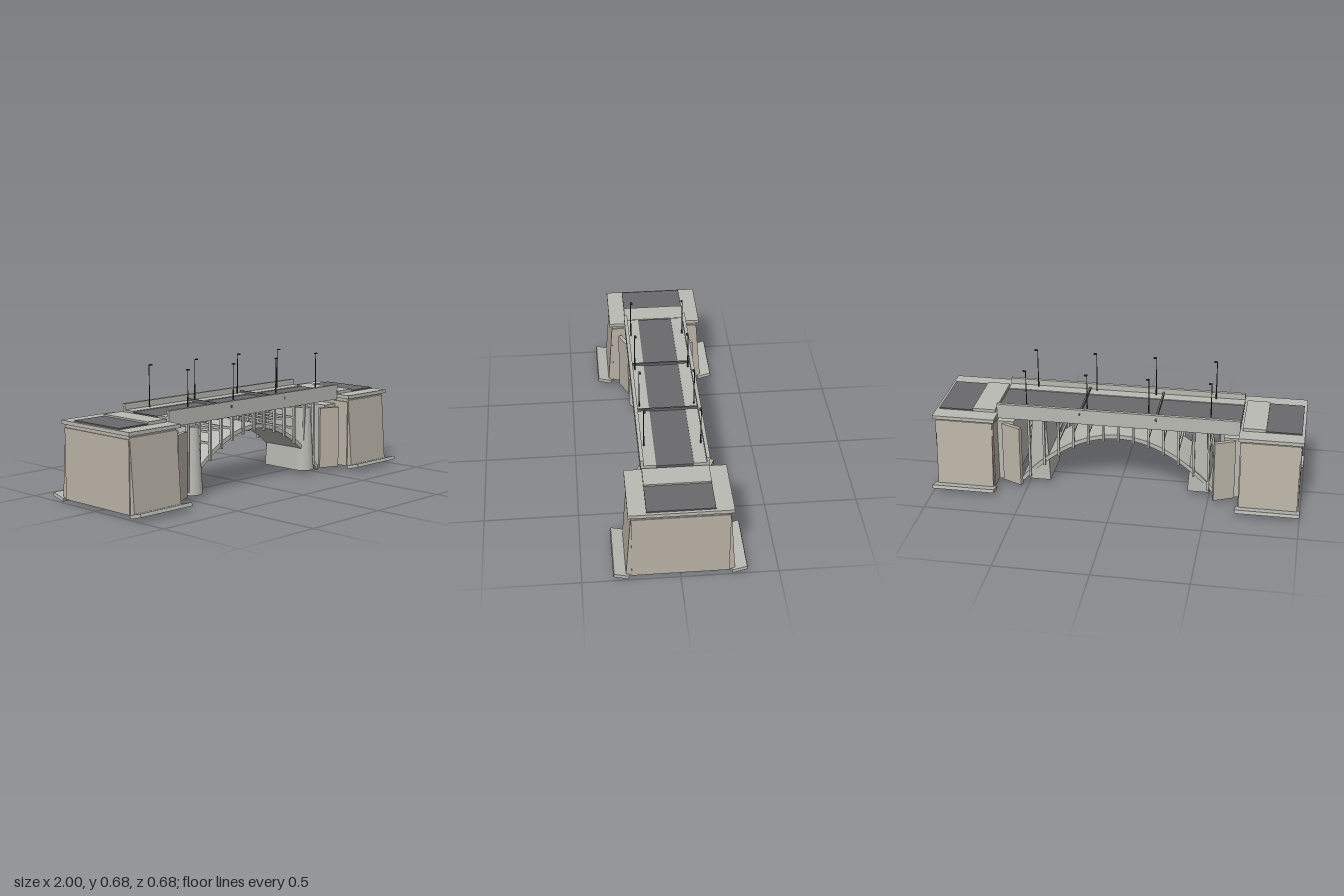
import * as THREE from 'three';

const mat = (color) => new THREE.MeshStandardMaterial({ color });

export function createModel() {
  const root = new THREE.Group();
  root.name = 'archBridge';
  const concrete = mat(0xb9bab3), tan = mat(0xbab3a7), asphalt = mat(0x69686c), dark = mat(0x35383a);

  const add = (name, geometry, material, parent = root) => {
    const m = new THREE.Mesh(geometry, material);
    m.name = name;
    parent.add(m);
    return m;
  };
  // Box given by its limits on each axis
  const box = (name, [x0, x1], [y0, y1], [z0, z1], material, parent) => {
    const m = add(name, new THREE.BoxGeometry(x1 - x0, y1 - y0, z1 - z0), material, parent);
    m.position.set((x0 + x1) / 2, (y0 + y1) / 2, (z0 + z1) / 2);
    return m;
  };

  // Deck with road, pavements, parapets and expansion joints
  const L = 0.66;
  box('deckSlab', [-L, L], [0.402, 0.43], [-0.176, 0.176], concrete);
  box('roadway', [-L, L], [0.43, 0.45], [-0.096, 0.096], asphalt);
  for (const s of [-1, 1]) {
    const side = (a, b) => (s > 0 ? [a, b] : [-b, -a]);
    box('pavement', [-L, L], [0.43, 0.454], side(0.096, 0.161), concrete);
    box('parapet', [-L, L], [0.43, 0.476], side(0.161, 0.176), concrete);
    box('parapetCoping', [-L, L], [0.476, 0.487], side(0.159, 0.178), concrete);
    box('expansionJoint', [s * 0.207 - 0.005, s * 0.207 + 0.005], [0.451, 0.466], [-0.178, 0.178], asphalt);
    box('edgeGirder', [-L, L], [0.392, 0.404], side(0.11, 0.13), concrete);
  }

  // Parabolic arch barrel
  const top = (x) => 0.331 - 1.04 * x * x;
  const soffit = (x) => 0.307 - 1.06 * x * x;
  const N = 32, span = 0.54, outline = [];
  for (let i = 0; i <= N; i++) {
    const x = -span + (2 * span * i) / N;
    outline.push(new THREE.Vector2(x, top(x)));
  }
  for (let i = N; i >= 0; i--) {
    const x = -span + (2 * span * i) / N;
    outline.push(new THREE.Vector2(x, soffit(x)));
  }
  const archGeo = new THREE.ExtrudeGeometry(new THREE.Shape(outline), { depth: 0.27, bevelEnabled: false });
  add('archBarrel', archGeo.translate(0, 0, -0.135), concrete);

  // Spandrel columns and cross beams standing on the arch
  for (let k = -6; k <= 6; k++) {
    const x = k * 0.0825, foot = soffit(x) - 0.012;
    for (const z of [-0.138, 0.138])
      box('spandrelColumn', [x - 0.006, x + 0.006], [foot, 0.404], [z - 0.007, z + 0.007], concrete);
    for (const y of [0.39, 0.33, 0.27])
      if (y > top(x) + 0.02)
        box('crossBeam', [x - 0.005, x + 0.005], [y - 0.006, y + 0.006], [-0.138, 0.138], concrete);
  }

  // Tapered piers, rounded at the front and flat at the back
  const r = 0.06, H = 0.358;
  const plan = new THREE.Shape();
  plan.moveTo(-r, 0.13);
  plan.lineTo(-r, -0.11);
  plan.absarc(0, -0.11, r, Math.PI, Math.PI * 2, false);
  plan.lineTo(r, 0.13);
  plan.closePath();
  for (const s of [-1, 1]) {
    const geo = new THREE.ExtrudeGeometry(plan, { depth: H, bevelEnabled: false, curveSegments: 16 });
    geo.rotateX(-Math.PI / 2);
    const p = geo.attributes.position;
    for (let i = 0; i < p.count; i++) {
      const t = p.getY(i) / H;
      p.setX(i, p.getX(i) * (1 - 0.36 * t));
      p.setZ(i, p.getZ(i) * (1 - 0.1 * t));
    }
    geo.computeVertexNormals();
    add('pier', geo, concrete).position.set(s * 0.442, 0.017, 0);
    box('pierBearing', [s * 0.442 - 0.022, s * 0.442 + 0.022], [0.37, 0.404], [-0.1, 0.12], concrete);
  }

  // Abutments at both ends
  for (const s of [-1, 1]) {
    const g = new THREE.Group();
    g.name = s > 0 ? 'leftAbutment' : 'rightAbutment';
    root.add(g);
    const xs = (a, b) => (s > 0 ? [a, b] : [-b, -a]);
    box('abutmentBody', xs(0.667, 0.99), [0.017, 0.392], [-0.247, 0.247], tan, g);
    box('abutmentNeck', xs(0.675, 0.985), [0.39, 0.412], [-0.243, 0.243], tan, g);
    box('capSlab', xs(0.658, 1), [0.411, 0.431], [-0.262, 0.262], concrete, g);
    box('approachRoad', xs(0.79, 0.985), [0.43, 0.438], [-0.171, 0.171], asphalt, g);
    box('approachSlab', xs(0.672, 0.797), [0.43, 0.447], [-0.171, 0.171], concrete, g);
    box('breastWall', xs(0.575, 0.67), [0.017, 0.374], [-0.155, 0.155], concrete, g);

    for (const f of [-1, 1]) {
      // Battered side wall
      const wedge = new THREE.Shape();
      wedge.moveTo(0.24, 0.017);
      wedge.lineTo(0.277, 0.017);
      wedge.lineTo(0.248, 0.4);
      wedge.lineTo(0.226, 0.41);
      wedge.closePath();
      const geo = new THREE.ExtrudeGeometry(wedge, { depth: 0.312, bevelEnabled: false });
      geo.rotateY(-Math.PI / 2).translate(0.156, 0, 0);
      const wall = add('batteredWall', geo, tan, g);
      wall.position.x = s * 0.829;
      if (f < 0) wall.rotation.y = Math.PI;

      // Sloping apron slab along the foot
      const apron = add('apronSlab', new THREE.BoxGeometry(0.344, 0.019, 0.08), concrete, g);
      apron.position.set(s * 0.828, 0.0235, f * 0.3);
      apron.rotation.x = -f * 0.26;

      // Splayed wing wall beside the pier
      const wing = add('wingWall', new THREE.BoxGeometry(0.118, 0.347, 0.022), tan, g);
      wing.position.set(s * 0.582, 0.19, f * 0.18);
      wing.rotation.y = s * -0.42;
    }
  }

  // Street lamps in two rows
  for (const x of [-0.5, -0.167, 0.167, 0.5])
    for (const f of [-1, 1]) {
      const lamp = new THREE.Group();
      lamp.name = 'streetLamp';
      lamp.position.set(x, 0.45, f * 0.147);
      root.add(lamp);
      add('lampBase', new THREE.CylinderGeometry(0.003, 0.004, 0.09, 8), dark, lamp).position.y = 0.045;
      add('lampPole', new THREE.CylinderGeometry(0.002, 0.003, 0.225, 8), dark, lamp).position.y = 0.1125;
      const head = add('lampHead', new THREE.BoxGeometry(0.018, 0.006, 0.011), dark, lamp);
      head.position.set(0.007, 0.227, -f * 0.005);
    }
  return root;
}
